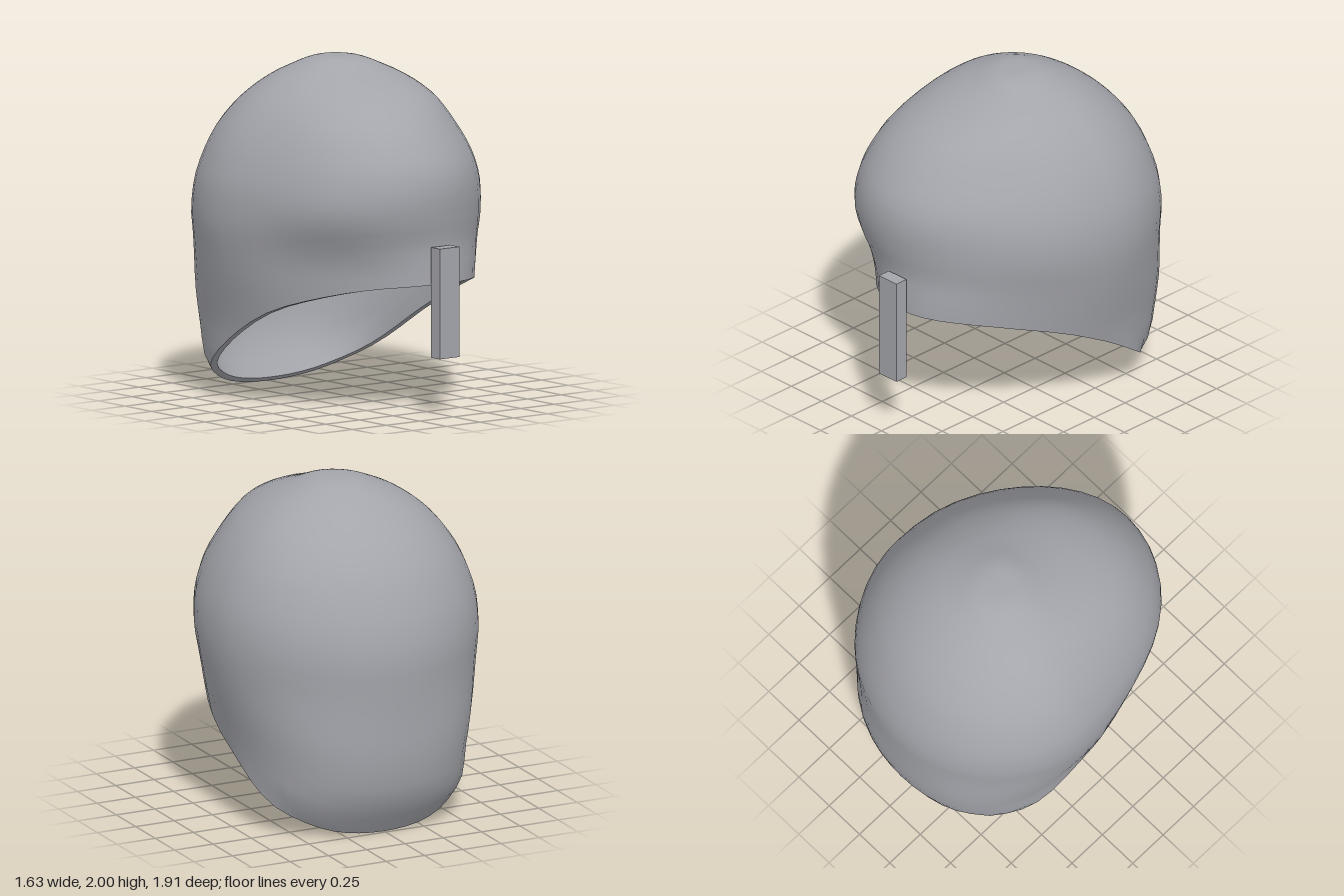
import * as THREE from 'three';

const SEGMENTS = 48, ROWS = 30, WALL = 0.045;
const { smoothstep, clamp } = THREE.MathUtils;

// Smooth interpolation through rows [key, ...values] with rising keys
function lookup(rows, key, col) {
  const n = rows.length - 1;
  const k = clamp(key, rows[0][0], rows[n][0]);
  let i = 0;
  while (i < n - 1 && k > rows[i + 1][0]) i++;
  const slope = (a, b) => (rows[b][col] - rows[a][col]) / (rows[b][0] - rows[a][0]);
  const h = rows[i + 1][0] - rows[i][0], t = (k - rows[i][0]) / h;
  const m0 = slope(Math.max(i - 1, 0), i + 1) * h;
  const m1 = slope(i, Math.min(i + 2, n)) * h;
  const t2 = t * t, t3 = t2 * t;
  return rows[i][col] * (2 * t3 - 3 * t2 + 1) + m0 * (t3 - 2 * t2 + t)
    + rows[i + 1][col] * (3 * t2 - 2 * t3) + m1 * (t3 - t2);
}

// Horizontal sections: height, front z, back z, half width, z of widest point
const SECTIONS = [
  [2.0, -0.02, -0.16, 0.06, -0.09],
  [1.95, 0.15, -0.34, 0.25, -0.10],
  [1.9, 0.29, -0.44, 0.36, -0.11],
  [1.85, 0.43, -0.52, 0.44, -0.12],
  [1.77, 0.59, -0.62, 0.54, -0.13],
  [1.68, 0.70, -0.71, 0.62, -0.14],
  [1.56, 0.80, -0.80, 0.70, -0.15],
  [1.43, 0.875, -0.865, 0.76, -0.15],
  [1.28, 0.90, -0.92, 0.805, -0.15],
  [1.1, 0.88, -0.952, 0.818, -0.15],
  [1.0, 0.86, -0.95, 0.81, -0.15],
  [0.77, 0.872, -0.94, 0.77, -0.15],
  [0.44, 0.872, -0.927, 0.70, -0.15],
  [0.2, 0.86, -0.87, 0.68, -0.15],
  [0.08, 0.85, -0.785, 0.62, -0.15],
  [0.0, 0.85, -0.73, 0.59, -0.15],
].map(([y, ...rest]) => [Math.sqrt(2 - y), ...rest]);

// Height of the sloping bottom edge along z
const EDGE = [[-0.73, 0], [-0.6, 0.11], [-0.4, 0.26], [-0.2, 0.395], [0, 0.51],
  [0.2, 0.605], [0.5, 0.7], [0.7, 0.745], [0.87, 0.765]];

function shellPoint(angle, y, inset) {
  const q = Math.sqrt(Math.max(0, 2 - y));
  const [front, back, width, mid] = [1, 2, 3, 4].map((c) => lookup(SECTIONS, q, c));
  const c = Math.cos(angle), s = Math.sin(angle);
  const depth = c > 0 ? front - inset - mid : mid - back - inset;
  // The brow leans to one side, below it the front narrows
  const brow = smoothstep(y, 0.8, 1.25) * (1 - smoothstep(y, 1.6, 1.95));
  const lean = smoothstep(c, 0.2, 1) * (0.09 * brow - 0.02);
  const pinch = 1 - 0.13 * smoothstep(c, 0.1, 0.9) * (1 - smoothstep(y, 0.8, 1.2));
  // The lower back has fuller corners
  const full = c < 0 ? 1 + 0.05 * (2 * s * c) ** 2 * (1 - smoothstep(y, 0.5, 1)) : 1;
  return new THREE.Vector3((width - inset) * s * pinch * full - lean, y, mid + depth * c * full);
}

function edgeHeight(angle, inset) {
  let lo = 0, hi = 1;
  for (let k = 0; k < 30; k++) {
    const y = (lo + hi) / 2;
    if (y < lookup(EDGE, shellPoint(angle, y, inset).z, 1)) lo = y; else hi = y;
  }
  return lo;
}

// Rows of points from the bottom edge up to the closed crown
function shellRows(inset) {
  const top = 2 - inset, rows = [];
  for (let j = 0; j <= ROWS + 1; j++) {
    const row = [];
    for (let i = 0; i < SEGMENTS; i++) {
      const angle = (i / SEGMENTS) * Math.PI * 2;
      if (j > ROWS) { row.push(new THREE.Vector3(0, top, -0.09)); continue; }
      const low = edgeHeight(angle, inset);
      row.push(shellPoint(angle, low + (top - low) * Math.sin((j / ROWS) * Math.PI / 2), inset));
    }
    rows.push(row);
  }
  return rows;
}

// Skin joining closed rows of points
function loft(rows, flip) {
  const index = [];
  for (let j = 0; j < rows.length - 1; j++) {
    for (let i = 0; i < SEGMENTS; i++) {
      const n = (i + 1) % SEGMENTS;
      const a = j * SEGMENTS + i, b = j * SEGMENTS + n, c = a + SEGMENTS, d = b + SEGMENTS;
      if (flip) index.push(a, c, b, b, c, d);
      else index.push(a, b, c, b, d, c);
    }
  }
  const geometry = new THREE.BufferGeometry().setFromPoints(rows.flat());
  geometry.setIndex(index);
  geometry.computeVertexNormals();
  return geometry;
}

export function createModel() {
  const model = new THREE.Group();
  model.name = 'helmet';
  const grey = new THREE.MeshStandardMaterial({ color: 0xa4a5ab });
  grey.name = 'grey';
  const add = (name, geometry) => {
    const mesh = new THREE.Mesh(geometry, grey);
    mesh.name = name;
    model.add(mesh);
    return mesh;
  };

  // Hollow shell: outside, lining and the rim between them
  const outer = shellRows(0), inner = shellRows(WALL);
  add('outerShell', loft(outer, false));
  add('innerLining', loft(inner, true));
  add('rim', loft([outer[0], inner[0]], true));

  // Upright guard bar in front of the opening
  add('noseGuard', new THREE.BoxGeometry(0.145, 0.65, 0.08)).position.set(0.007, 0.665, 0.915);

  return model;
}
